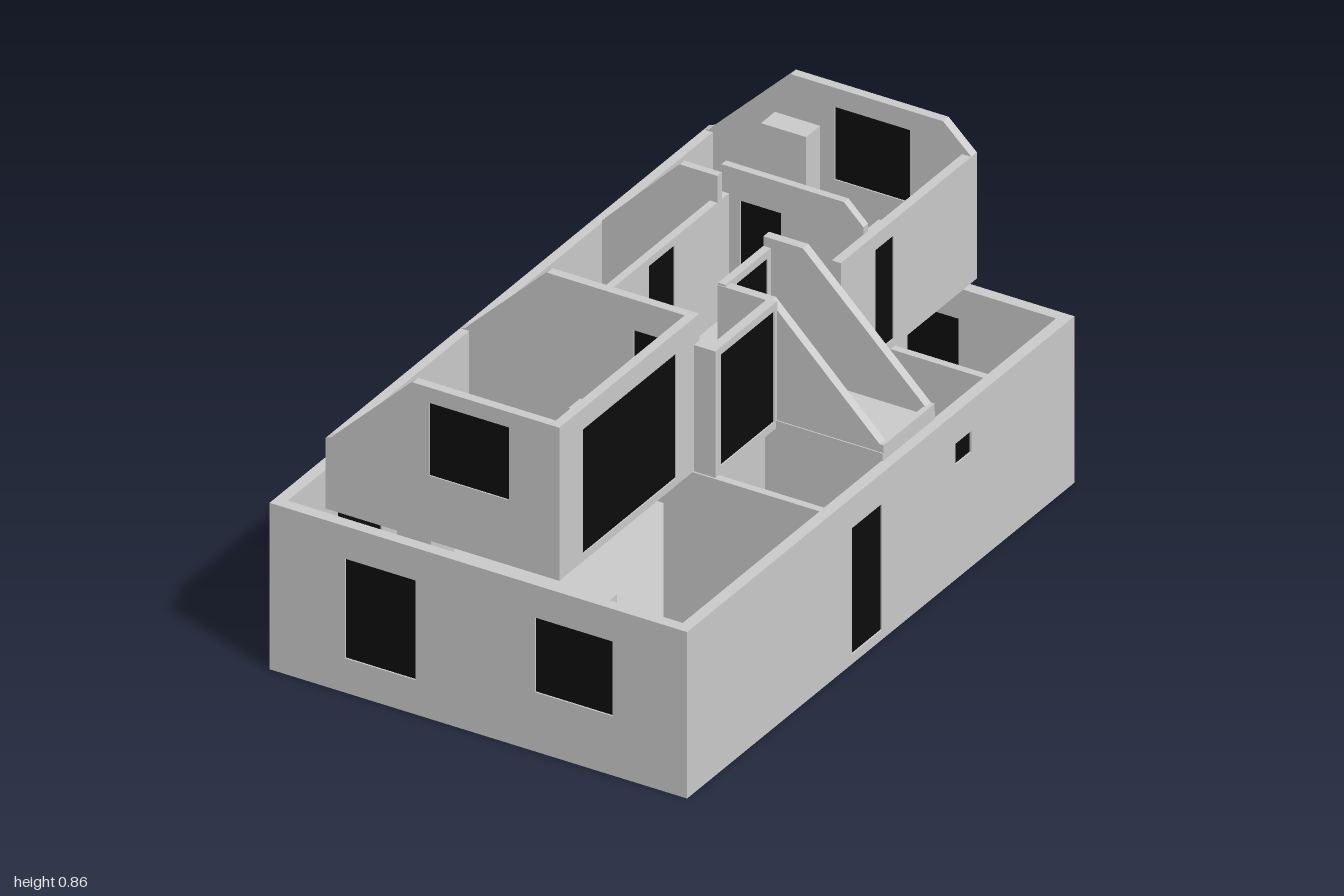
import * as THREE from 'three';

export function createModel() {
  const grey = new THREE.MeshStandardMaterial({ color: 0xcccccc });
  const black = new THREE.MeshStandardMaterial({ color: 0x0c0c0c });
  const model = new THREE.Group();
  model.name = 'house';

  function floorGroup(name) {
    const g = new THREE.Group();
    g.name = name;
    model.add(g);
    return g;
  }

  function box(parent, name, x0, x1, y0, y1, z0, z1, mat = grey) {
    const m = new THREE.Mesh(new THREE.BoxGeometry(x1 - x0, y1 - y0, z1 - z0), mat);
    m.position.set((x0 + x1) / 2, (y0 + y1) / 2, (z0 + z1) / 2);
    m.name = name;
    parent.add(m);
    return m;
  }

  // Wall from a profile of [distance, height] points; openings are [from, to, bottom, top] with dark panes
  function wall(parent, name, axis, at, t, profile, openings = []) {
    const g = new THREE.Group();
    g.name = name;
    const shape = new THREE.Shape(profile.map(p => new THREE.Vector2(p[0], p[1])));
    for (const [a, b, lo, hi] of openings) {
      shape.holes.push(new THREE.Path([[a, lo], [a, hi], [b, hi], [b, lo]].map(p => new THREE.Vector2(p[0], p[1]))));
      box(g, name + 'Pane', a, b, lo, hi, -t * 0.36, t * 0.36, black);
    }
    const geo = new THREE.ExtrudeGeometry(shape, { depth: t, bevelEnabled: false });
    geo.translate(0, 0, -t / 2);
    const m = new THREE.Mesh(geo, grey);
    m.name = name + 'Panel';
    g.add(m);
    if (axis === 'z') {
      g.rotation.y = -Math.PI / 2;
      g.position.x = at;
    } else g.position.z = at;
    parent.add(g);
  }
  const rect = (a, b, lo, hi) => [[a, lo], [b, lo], [b, hi], [a, hi]];

  // ---- Ground floor ----
  const ground = floorGroup('groundFloor');
  const W = 0.554, L = 0.834, T = 0.03, H = 0.435, iW = W - T, iL = L - T, F = 0.02;
  box(ground, 'groundSlab', -iW, iW, 0, F, -iL, iL);
  wall(ground, 'eastWall', 'z', W - T / 2, T, rect(-L, L, 0, H),
    [[-0.006, 0.124, 0.025, 0.355], [-0.39, -0.322, 0.3, 0.355]]);
  wall(ground, 'westWall', 'z', -W + T / 2, T, rect(-L, L, 0, H),
    [[-0.112, 0.146, 0.17, 0.35], [0.398, 0.588, 0.025, 0.345]]);
  wall(ground, 'frontWall', 'x', L - T / 2, T, rect(-iW, iW, 0, H),
    [[-0.354, -0.167, 0.09, 0.35], [0.151, 0.356, 0.155, 0.35]]);
  wall(ground, 'backWall', 'x', -L + T / 2, T, rect(-iW, iW, 0, H),
    [[0.089, 0.265, 0.165, 0.355], [-0.272, -0.087, 0.155, 0.355]]);
  box(ground, 'drainpipe', -0.036, -0.024, 0.02, H, -L - 0.004, -L + 0.004);

  // Ground partitions
  const P = 0.02;
  wall(ground, 'livingPartition', 'x', 0.205, P, rect(0.12, iW, F, H));
  wall(ground, 'bathPartition', 'x', -0.2, P, rect(0.13, iW, F, H));
  wall(ground, 'bedroomPartition', 'x', -0.5, P, rect(0.13, iW, F, H));
  wall(ground, 'hallPartition', 'z', 0.12, P, rect(-iL, 0.215, F, H),
    [[-0.75, -0.63, 0.025, 0.35], [0.02, 0.14, 0.025, 0.35]]);
  wall(ground, 'middlePartition', 'x', -0.25, P, rect(-iW, 0.11, F, H), [[-0.08, 0.05, 0.025, 0.35]]);

  // Ground furniture: [name, x0, x1, height, z0, z1]
  const groundItems = [
    ['sideboard', 0.46, 0.52, 0.14, 0.33, 0.74],
    ['hallCabinet', 0.41, 0.51, 0.16, 0.13, 0.19],
    ['bed', 0.32, 0.51, 0.1, -0.76, -0.54],
    ['pillow', 0.35, 0.48, 0.12, -0.75, -0.69],
    ['washbasin', 0.46, 0.52, 0.2, -0.3, -0.23],
    ['toilet', 0.33, 0.4, 0.1, -0.33, -0.24],
    ['cistern', 0.43, 0.51, 0.18, -0.45, -0.4],
    ['shelf', -0.52, -0.46, 0.2, -0.68, -0.36],
    ['westCabinet', -0.52, -0.43, 0.16, 0.24, 0.34],
    ['diningTable', -0.12, 0.1, 0.16, 0.4, 0.62],
    ['worktop', -0.45, -0.1, 0.2, 0.72, 0.8],
  ];
  for (const [n, x0, x1, h, z0, z1] of groundItems) box(ground, n, x0, x1, F, F + h, z0, z1);

  // Chairs with seat, back and arms
  function chair(parent, x, z, w, turn) {
    const g = new THREE.Group();
    g.name = 'armchair';
    box(g, 'seat', -w / 2, w / 2, 0, 0.07, -w / 2, w / 2);
    box(g, 'chairBack', -w / 2, w / 2, 0.07, 0.16, -w / 2, -w / 2 + 0.02);
    for (const s of [-1, 1]) box(g, 'arm', s * w / 2 - 0.008, s * w / 2 + 0.008, 0, 0.1, -w / 2, w / 2);
    g.position.set(x, F, z);
    g.rotation.y = turn;
    parent.add(g);
  }
  chair(ground, 0.34, 0.71, 0.12, Math.PI);
  chair(ground, 0.23, 0.73, 0.08, Math.PI);
  chair(ground, -0.476, 0.752, 0.07, 0.9);

  // ---- Upper floor ----
  const upper = floorGroup('upperFloor');
  const B = 0.46, U = 0.48, top = 0.86, low = 0.79, E = 0.826, K = -0.41, t = 0.024;

  // Floor plate with projecting balcony
  const plate = new THREE.Shape([[K, -E], [0.3, -E], [0.3, -0.24], [0.55, -0.24], [0.55, -0.015],
    [0.267, -0.015], [0.267, 0.247], [0.21, 0.247], [0.21, E], [K, E]].map(p => new THREE.Vector2(p[0], -p[1])));
  const plateGeo = new THREE.ExtrudeGeometry(plate, { depth: U - B, bevelEnabled: false });
  plateGeo.rotateX(-Math.PI / 2);
  const slab = new THREE.Mesh(plateGeo, grey);
  slab.position.y = B;
  slab.name = 'upperSlab';
  upper.add(slab);

  // Gable profile: knee on the west, slope up, optional short slope down on the east
  const gable = (east, sloped, y0) => [[K, y0], [east, y0],
    ...(sloped ? [[east, low], [0.225, top]] : [[east, top]]), [-0.18, top], [-0.395, 0.65], [K, 0.645]];
  wall(upper, 'frontGable', 'x', E - t / 2, t, gable(0.21, false, B), [[-0.135, 0.077, 0.63, 0.82]]);
  wall(upper, 'backGable', 'x', -E + t / 2, t, gable(0.3, true, B), [[-0.063, 0.138, 0.62, 0.81]]);
  wall(upper, 'kneeWall', 'z', K + t / 2, t, rect(-E + t, E - t, B, 0.645));

  // East walls, stepping in and out
  wall(upper, 'eastFrontWall', 'z', 0.198, t, rect(0.235, E - t, B, top), [[0.323, 0.723, U, 0.805]]);
  wall(upper, 'eastMiddleWall', 'z', 0.255, t, rect(-0.02, 0.247, B, low), [[-0.008, 0.235, U, 0.77]]);
  wall(upper, 'eastBackWall', 'z', 0.288, t, rect(-E + t, -0.24, B, low), [[-0.468, -0.39, U, 0.75]]);

  // Cross partitions follow the roof line
  wall(upper, 'frontPartition', 'x', 0.235, t, gable(0.21, false, U), [[0.05, 0.175, U + 0.005, 0.78]]);
  wall(upper, 'partitionReturn', 'x', 0.235, t, rect(0.21, 0.267, U, low));
  wall(upper, 'backPartitionWest', 'x', -0.335, P,
    [[K + t, U], [-0.08, U], [-0.08, top], [-0.18, top], [K + t, 0.65]]);
  wall(upper, 'backPartitionEast', 'x', -0.385, P,
    [[-0.1, U], [0.277, U], [0.277, 0.81], [0.225, top], [-0.1, top]], [[-0.05, 0.058, U + 0.005, 0.78]]);
  wall(upper, 'landingPartition', 'z', -0.09, P, rect(-0.385, 0.225, U, low), [[-0.14, -0.03, U + 0.005, 0.77]]);

  // Balcony: recessed door wall between two sloping cheeks
  wall(upper, 'balconyDoorWall', 'z', 0.12, P, rect(-0.24, -0.02, U, low), [[-0.2, -0.07, U + 0.005, 0.77]]);
  for (const [z, ridge, y] of [[-0.03, 0.25, 0.785], [-0.227, 0.215, 0.815]])
    wall(upper, 'balconyCheek', 'x', z, t, [[0.11, U], [0.55, U], [0.55, 0.5], [0.54, 0.5], [ridge, y], [0.11, y]]);
  box(upper, 'balconyKerb', 0.535, 0.55, U, 0.5, -0.215, -0.042);

  // Upper furniture
  const upperItems = [
    ['frontCabinet', -0.13, 0.05, 0.12, 0.74, 0.8],
    ['backCabinet', -0.22, -0.1, 0.27, -0.8, -0.74],
    ['stool', 0.08, 0.15, 0.1, -0.76, -0.69],
    ['shelfUnit', -0.37, -0.31, 0.12, -0.48, -0.37],
    ['bathCabinet', -0.22, -0.14, 0.1, -0.28, -0.22],
    ['dresser', -0.24, -0.13, 0.12, 0.16, 0.22],
    ['washstand', 0.08, 0.2, 0.16, -0.44, -0.4],
    ['landingChest', -0.07, 0.05, 0.1, 0.14, 0.215],
    ['lowChest', -0.09, -0.01, 0.08, 0.25, 0.3],
  ];
  for (const [n, x0, x1, h, z0, z1] of upperItems) box(upper, n, x0, x1, U, U + h, z0, z1);
  const table = new THREE.Mesh(new THREE.CylinderGeometry(0.038, 0.038, 0.1, 24), grey);
  table.position.set(-0.185, U + 0.05, -0.385);
  table.name = 'roundTable';
  upper.add(table);

  // The house stands turned on its plot
  model.rotation.y = -0.639;
  const root = new THREE.Group();
  root.name = 'houseModel';
  root.add(model);
  return root;
}
